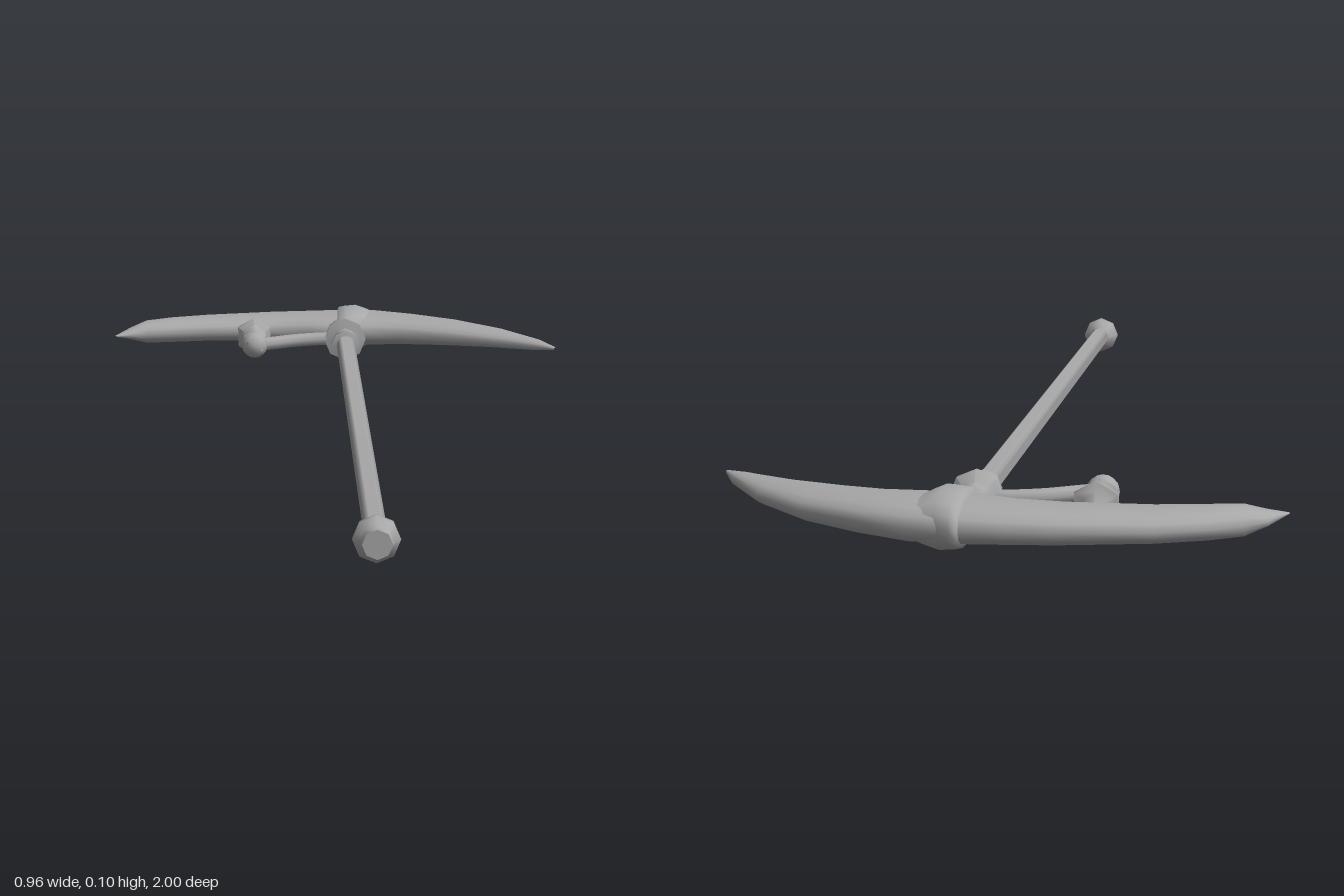
import * as THREE from 'three';
import { toCreasedNormals } from 'three/addons/utils/BufferGeometryUtils.js';

const MID = 0.05; // height of the centre plane

export function createModel() {
  const root = new THREE.Group();
  root.name = 'pickaxe';
  const metal = new THREE.MeshStandardMaterial({ color: 0xa8a8a8 });
  metal.name = 'grey metal';

  const add = (name, geometry, parent = root) => {
    const mesh = new THREE.Mesh(geometry, metal);
    mesh.name = name;
    parent.add(mesh);
    return mesh;
  };

  // Turned part whose axis runs towards -z; profile is [radius, distance]
  const turned = (profile, sides) => {
    const g = new THREE.LatheGeometry(profile.map(([r, h]) => new THREE.Vector2(r, h)), sides);
    g.rotateX(-Math.PI / 2);
    return toCreasedNormals(g, 1.1);
  };

  // Oval sections along x: [back x, back z, front x, front z, half thickness]
  const loft = (stations, sides = 16) => {
    const pos = [], index = [];
    stations.forEach(([bx, bz, fx, fz, t], i) => {
      for (let j = 0; j < sides; j++) {
        const a = (j / sides) * Math.PI * 2;
        const c = Math.cos(a), s = Math.sin(a);
        const k = (1 + c) / 2;
        pos.push(bx + (fx - bx) * k, MID + t * Math.sign(s) * Math.abs(s) ** 0.8, bz + (fz - bz) * k);
        if (i === stations.length - 1) continue;
        const p = i * sides + j, q = i * sides + ((j + 1) % sides);
        index.push(p, p + sides, q, q, p + sides, q + sides);
      }
    });
    const g = new THREE.BufferGeometry();
    g.setAttribute('position', new THREE.Float32BufferAttribute(pos, 3));
    g.setIndex(index);
    g.computeVertexNormals();
    return g;
  };

  // Handle, leaning slightly towards +x
  const handle = new THREE.Group();
  handle.name = 'handle';
  handle.position.set(0, MID, 1);
  handle.rotation.y = -0.016;
  root.add(handle);
  add('shaft', turned([[0.019, 0.03], [0.02, 1.7], [0.024, 1.9]], 12), handle);
  add('pommel', turned([[0, 0], [0.024, 0], [0.028, 0.02], [0.038, 0.032], [0.037, 0.046],
    [0.02, 0.066]], 8), handle);
  add('collar', turned([[0.019, 1.675], [0.031, 1.678], [0.031, 1.692], [0.024, 1.698],
    [0.025, 1.742], [0.046, 1.746], [0.046, 1.758], [0.028, 1.77], [0.027, 1.8],
    [0.034, 1.83], [0.034, 1.9]], 8), handle);

  // Curved head: broad chisel at -x, long spike at +x
  add('head', loft([
    [-0.482, -0.808, -0.478, -0.802, 0.001],
    [-0.45, -0.872, -0.445, -0.81, 0.012],
    [-0.415, -0.905, -0.41, -0.82, 0.024],
    [-0.36, -0.94, -0.35, -0.83, 0.026],
    [-0.28, -0.972, -0.27, -0.841, 0.027],
    [-0.127, -0.995, -0.13, -0.846, 0.03],
    [-0.05, -0.996, -0.05, -0.837, 0.032],
    [0.03, -0.992, 0.03, -0.805, 0.036],
    [0.11, -0.98, 0.08, -0.81, 0.036],
    [0.2, -0.94, 0.15, -0.8, 0.032],
    [0.296, -0.883, 0.23, -0.766, 0.027],
    [0.386, -0.79, 0.33, -0.715, 0.02],
    [0.455, -0.677, 0.425, -0.65, 0.012],
    [0.482, -0.61, 0.475, -0.608, 0.003],
  ]));

  // Raised band where the handle meets the head
  add('headBand', loft([
    [0.018, -0.985, 0.012, -0.81, 0.03],
    [0.024, -0.999, 0.018, -0.797, 0.043],
    [0.036, -0.997, 0.036, -0.797, 0.046],
    [0.062, -0.985, 0.055, -0.808, 0.049],
    [0.085, -0.975, 0.07, -0.82, 0.042],
    [0.115, -0.965, 0.09, -0.83, 0.03],
  ]));

  // Side bracket holding the small hammer
  const path = new THREE.CatmullRomCurve3([
    [0.03, -0.757], [-0.02, -0.755], [-0.08, -0.737], [-0.13, -0.708], [-0.17, -0.685],
  ].map(([x, z]) => new THREE.Vector3(x, 0, z)));
  const arm = add('bracketArm', new THREE.TubeGeometry(path, 16, 0.011, 8));
  arm.position.y = MID;
  arm.scale.y = 1.3;

  const hammer = add('sideHammer', turned([[0, -0.028], [0.018, -0.022], [0.028, -0.004],
    [0.026, 0.014], [0.02, 0.024], [0.028, 0.028], [0.028, 0.094], [0.041, 0.1],
    [0.041, 0.112], [0.024, 0.118], [0, 0.16]], 6));
  hammer.position.set(-0.172, MID, -0.685);
  const ball = add('hammerBall', new THREE.SphereGeometry(0.028, 12, 8));
  ball.position.set(-0.172, MID, -0.685);

  return root;
}
